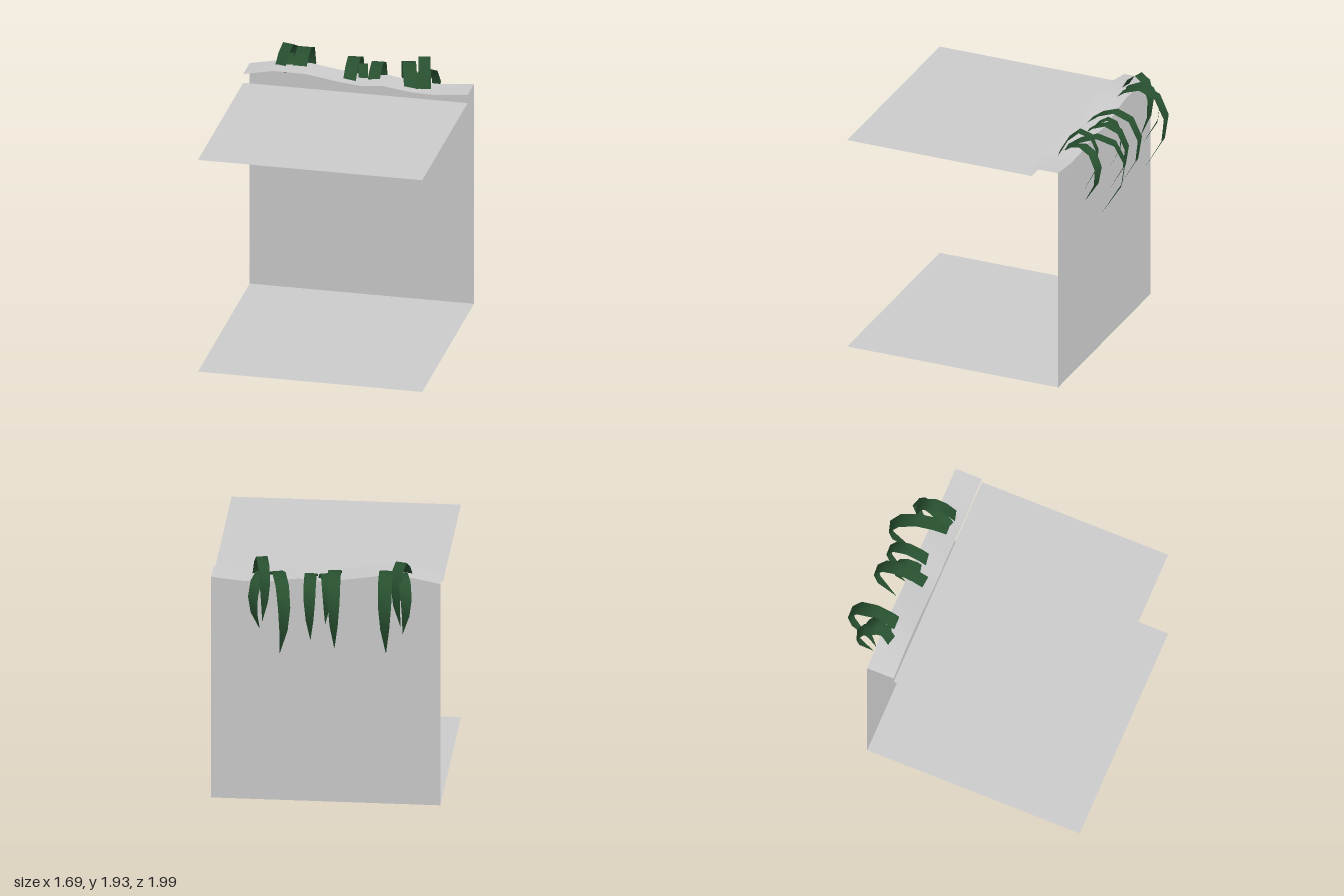
import * as THREE from 'three';

const HALF = 0.845, BACK = -0.69, FRONT = 1, LEDGE = -0.48;

const grey = new THREE.MeshStandardMaterial({ color: 0xcccccc, side: THREE.DoubleSide });
const green = new THREE.MeshStandardMaterial({ color: 0x285030, side: THREE.DoubleSide });

// Uneven height of the ledge along x
const ridge = [
  [-HALF, 1.76], [-0.62, 1.805], [-0.38, 1.805], [-0.12, 1.765],
  [0.03, 1.75], [0.2, 1.765], [0.42, 1.735], [0.6, 1.73], [HALF, 1.755],
];

// Strip surface between two rows of points of equal length
function strip(rowA, rowB) {
  const positions = [], index = [];
  rowA.forEach((a, i) => {
    positions.push(...a, ...rowB[i]);
    if (i > 0) {
      const k = 2 * i;
      index.push(k - 2, k - 1, k, k, k - 1, k + 1);
    }
  });
  const geometry = new THREE.BufferGeometry();
  geometry.setAttribute('position', new THREE.Float32BufferAttribute(positions, 3));
  geometry.setIndex(index);
  geometry.computeVertexNormals();
  return geometry;
}

function add(parent, name, geometry, material) {
  const mesh = new THREE.Mesh(geometry, material);
  mesh.name = name;
  parent.add(mesh);
  return mesh;
}

// Horizontal sheet facing up
function sheet(parent, name, y, zBack, zFront) {
  const geometry = new THREE.PlaneGeometry(2 * HALF, zFront - zBack);
  geometry.rotateX(-Math.PI / 2);
  geometry.translate(0, y, (zBack + zFront) / 2);
  add(parent, name, geometry, grey);
}

// Arching leaf: rises from its base, bends over the back and hangs to a point.
// Each row: reach, share of the rise, share of the drop, width factor
const ARCH = [
  [0, 0, 0, 1], [0.25, 0.65, 0, 1], [0.53, 1, 0, 1], [0.83, 1, 0.08, 1],
  [1, 1, 0.32, 0.92], [0.94, 1, 0.62, 0.62], [0.61, 1, 1, 0.02],
];

function leafGeometry([baseX, baseZ, outX, outZ, baseY, peakY, tipY, width]) {
  const dx = outX - baseX, dz = outZ - baseZ, length = Math.hypot(dx, dz);
  const left = [], right = [];
  for (const [reach, rise, drop, w] of ARCH) {
    const x = baseX + dx * reach, z = baseZ + dz * reach;
    const y = baseY + (peakY - baseY) * rise - (peakY - tipY) * drop;
    const sx = (-dz / length) * width * w / 2, sz = (dx / length) * width * w / 2;
    left.push([x - sx, y, z - sz]);
    right.push([x + sx, y, z + sz]);
  }
  return strip(left, right);
}

// Leaves: base x, base z, outer x, outer z, base y, peak y, tip y, width
const clumps = {
  rightGrassClump: [
    [-0.45, -0.57, -0.46, -0.985, 1.77, 1.885, 1.25, 0.105],
    [-0.515, -0.575, -0.61, -0.87, 1.765, 1.85, 1.38, 0.09],
    [-0.595, -0.59, -0.53, -0.83, 1.785, 1.935, 1.43, 0.085],
  ],
  middleGrassClump: [
    [-0.06, -0.535, -0.08, -0.94, 1.745, 1.86, 1.26, 0.095],
    [0.11, -0.58, 0.1, -0.915, 1.735, 1.835, 1.32, 0.09],
    [0.03, -0.6, -0.02, -0.82, 1.72, 1.825, 1.43, 0.07],
  ],
  leftGrassClump: [
    [0.4, -0.555, 0.28, -0.98, 1.735, 1.845, 1.22, 0.1],
    [0.42, -0.56, 0.52, -0.87, 1.735, 1.82, 1.38, 0.085],
    [0.51, -0.55, 0.435, -0.83, 1.74, 1.935, 1.43, 0.085],
  ],
};

export function createModel() {
  const model = new THREE.Group();
  model.name = 'grassLedge';

  // Floor, upper shelf, back wall and wavy ledge
  sheet(model, 'floor', 0, BACK, FRONT);
  sheet(model, 'upperShelf', 1.69, LEDGE, FRONT);
  const at = (z) => ridge.map(([x, y]) => [x, y, z]);
  add(model, 'backWall', strip(at(BACK), ridge.map(([x]) => [x, 0, BACK])), grey);
  add(model, 'wavyLedge', strip(at(BACK), at(LEDGE)), grey);

  // Grass leaning over the back wall
  for (const [name, leaves] of Object.entries(clumps)) {
    const clump = new THREE.Group();
    clump.name = name;
    leaves.forEach((leaf, i) => add(clump, `leaf${i + 1}`, leafGeometry(leaf), green));
    model.add(clump);
  }
  return model;
}
